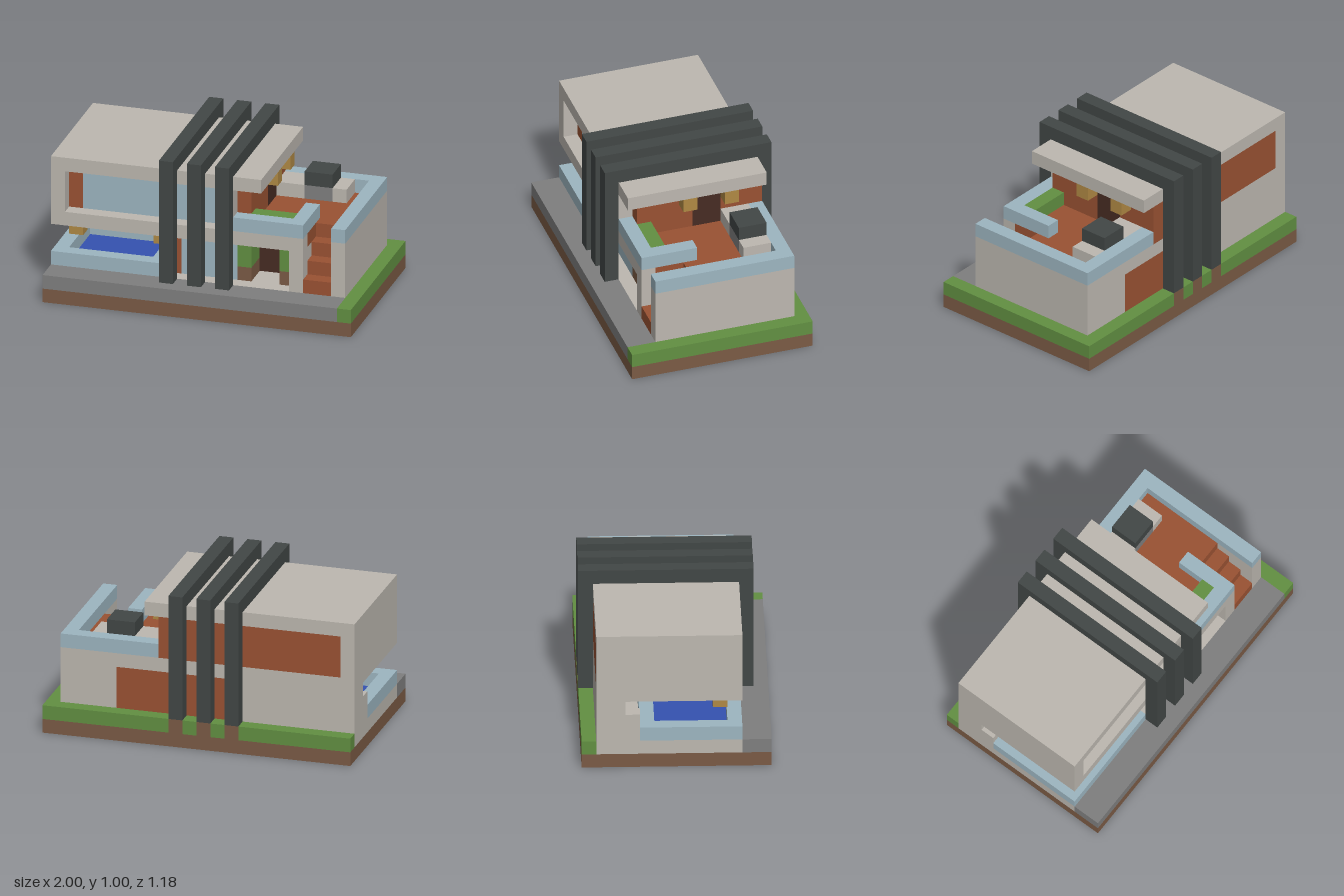
import * as THREE from 'three';

const U = 1 / 11; // one building block
const mat = (name, color) => {
  const m = new THREE.MeshStandardMaterial({ color });
  m.name = name;
  return m;
};

export function createModel() {
  const model = new THREE.Group();
  model.name = 'modernHouse';
  const concrete = mat('concrete', 0xbdb8b0), brick = mat('brick', 0x9a5233),
    glass = mat('paleBlueGlass', 0x9db6c1), steel = mat('darkSteel', 0x424746),
    wood = mat('lampWood', 0xb08944), door = mat('darkDoor', 0x472c23),
    grass = mat('grass', 0x629042), dirt = mat('dirt', 0x7b5b45),
    stone = mat('stone', 0x7f7f7f), water = mat('water', 0x3552b0);

  // Box between block corners: x 0..22 from the right, y 0..11 up, z 0..13 back to front
  const box = (name, m, x0, x1, y0, y1, z0, z1) => {
    const mesh = new THREE.Mesh(
      new THREE.BoxGeometry((x1 - x0) * U, (y1 - y0) * U, (z1 - z0) * U), m);
    mesh.position.set(((x0 + x1) / 2 - 11) * U, (y0 + y1) / 2 * U, ((z0 + z1) / 2 - 6.5) * U);
    mesh.name = name;
    model.add(mesh);
  };
  // Slab with the pool basin (x 1..7, z 5..10) left open
  const slabAroundPool = (name, m, x0, x1, y0, y1, z0, z1) => {
    box(name, m, x0, x1, y0, y1, z0, 5);
    box(name, m, x0, x1, y0, y1, 10, z1);
    box(name, m, x0, 1, y0, y1, 5, 10);
    box(name, m, 7, x1, y0, y1, 5, 10);
  };

  // Ground
  slabAroundPool('dirtBase', dirt, 0, 22, 0, 1, 0, 13);
  slabAroundPool('houseFoundation', concrete, 0, 21, 1, 2, 1, 11);
  box('frontPavement', stone, 0, 21, 1, 2, 11, 13);
  box('sideLawn', grass, 21, 22, 1, 2, 0, 13);
  [[0, 8], [9, 10], [11, 12], [13, 21]].forEach(([a, b]) => box('backLawn', grass, a, b, 1, 2, 0, 1));

  // Pool
  box('poolFloor', stone, 1, 7, 0, 1, 5, 10);
  box('poolWater', water, 1, 7, 1, 2, 5, 10);
  slabAroundPool('poolRim', glass, 0, 8, 2, 3, 4, 11);

  // Three steel portal frames straddling the house
  for (const x of [8, 10, 12]) {
    box('frameFooting', dirt, x, x + 1, 1, 2, 0, 1);
    box('frameBackPost', steel, x, x + 1, 2, 10, 0, 1);
    box('frameFrontPost', steel, x, x + 1, 2, 10, 11, 12);
    box('frameBeam', steel, x, x + 1, 10, 11, 0, 12);
  }

  // Ground floor
  box('poolBackWall', concrete, 0, 8, 2, 5, 1, 3);
  box('poolSill', concrete, 0, 1, 2, 4, 3, 4);
  box('lowerSideWall', brick, 8, 9, 2, 5, 1, 10);
  box('lowerBackWall', brick, 9, 17, 2, 5, 1, 2);
  box('lowerWindow', glass, 9, 13, 2, 5, 9, 10);
  for (const [a, b] of [[13, 14], [16, 17]]) box('entranceWall', brick, a, b, 2, 5, 7, 8);
  box('frontDoor', door, 14, 16, 2, 5, 7, 8);
  for (const x of [13, 16]) {
    box('hedgeSoil', dirt, x, x + 1, 2, 3, 8, 10);
    box('hedge', grass, x, x + 1, 3, 5, 8, 10);
  }
  for (const x of [1, 7]) box('ceilingLamp', wood, x, x + 1, 4, 5, 9, 10);

  // Upper floor shell
  box('upperFloor', concrete, 0, 13, 5, 6, 1, 11);
  box('roof', concrete, 0, 15, 9, 10, 1, 11);
  box('upperLeftWall', concrete, 0, 1, 6, 9, 1, 11);
  box('windowFrameEnd', concrete, 12, 13, 6, 9, 10, 11);
  box('upperBackWall', brick, 1, 14, 6, 9, 1, 2);
  box('windowJamb', brick, 1, 2, 6, 9, 9, 10);
  box('upperWindow', glass, 2, 13, 6, 9, 9, 10);
  box('terraceWall', brick, 13, 14, 6, 9, 2, 4);
  box('terraceDoor', door, 13, 14, 6, 9, 4, 6);
  box('terraceWall', brick, 13, 14, 6, 9, 6, 10);
  for (const z of [3, 6]) box('terraceLamp', wood, 14, 15, 8, 9, z, z + 1);

  // Terrace deck, its walls and parapets
  box('terraceDeck', brick, 13, 18, 5, 6, 2, 10);
  box('terraceDeck', brick, 18, 20, 5, 6, 2, 7);
  box('terraceFrontBeam', concrete, 13, 18, 5, 6, 10, 11);
  box('terraceBackBeam', concrete, 13, 20, 5, 6, 1, 2);
  box('rightBackWall', concrete, 17, 20, 2, 5, 1, 2);
  box('rightWall', concrete, 20, 21, 2, 6, 1, 11);
  box('stairWall', concrete, 17, 18, 2, 5, 2, 10);
  box('stairWallEnd', concrete, 17, 18, 2, 5, 10, 11);
  box('backParapet', glass, 14, 20, 6, 7, 1, 2);
  box('rightParapet', glass, 20, 21, 6, 7, 1, 11);
  box('frontParapet', glass, 13, 17, 6, 7, 10, 11);
  box('stairParapet', glass, 17, 18, 6, 7, 7, 11);
  box('terracePlanter', grass, 14, 17, 6, 7, 9, 10);

  // Outdoor kitchen
  box('counterLeft', concrete, 14, 16, 6, 7, 2, 4);
  box('counterRight', concrete, 18, 19, 6, 7, 2, 4);
  box('grillBase', stone, 16, 18, 6, 7, 2, 4);
  box('grill', steel, 16, 18, 7, 8, 2, 4);

  // Stairs rising towards the back
  for (let s = 0; s < 4; s++) box('stairStep', brick, 18, 20, 2, 3 + s, 10 - s, 11 - s);

  return model;
}
